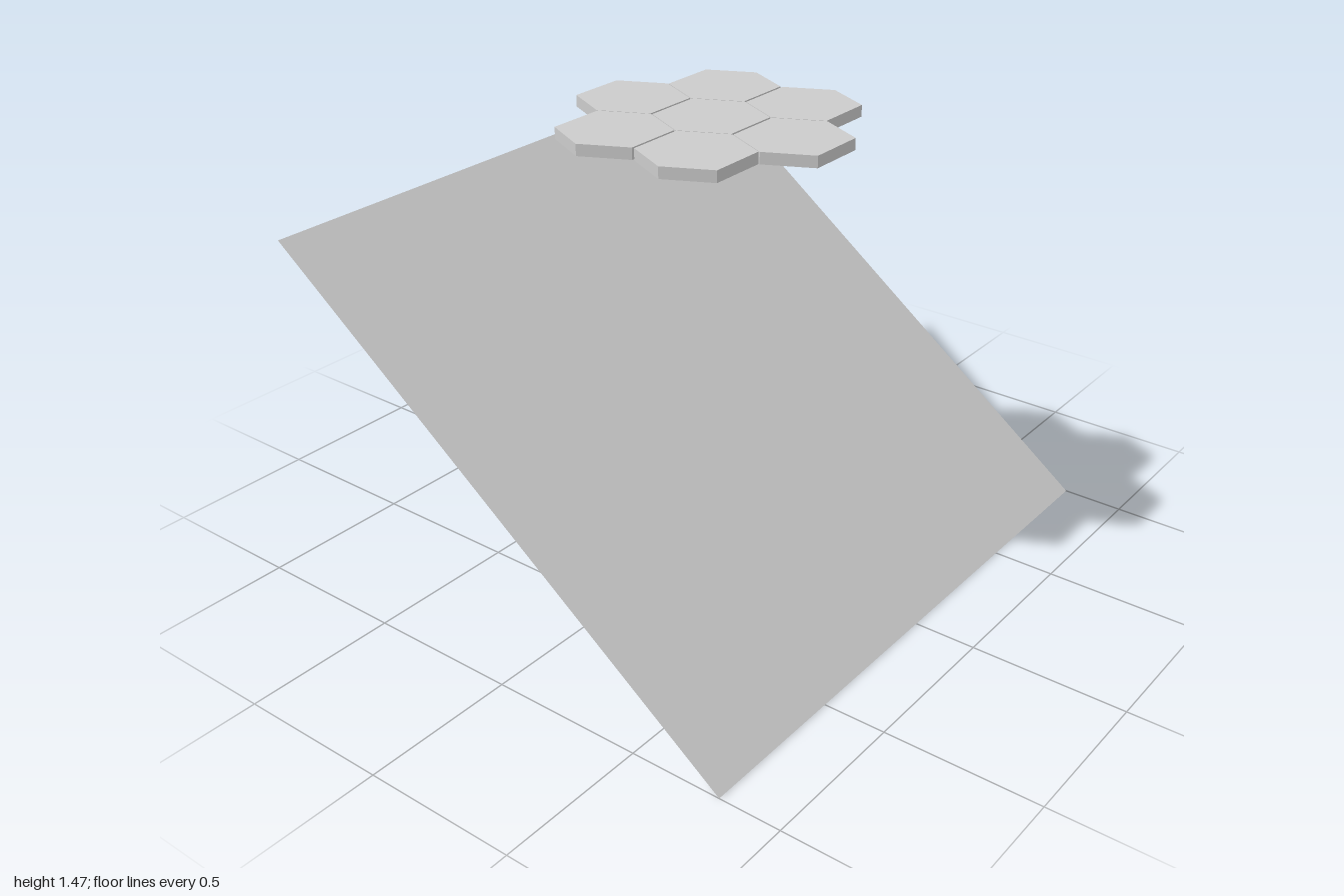
import * as THREE from 'three';

export function createModel() {
  const model = new THREE.Group();
  const grey = new THREE.MeshStandardMaterial({ color: 0xcccccc, flatShading: true });
  const greySheet = new THREE.MeshStandardMaterial({ color: 0xcccccc, side: THREE.DoubleSide });

  // Thin sloping sheet: high at the back, touching the ground at the front
  const slope = new THREE.Mesh(new THREE.PlaneGeometry(2, 2), greySheet);
  slope.name = 'slopedSheet';
  slope.rotation.x = -Math.atan2(1.6, 1.2);
  slope.position.y = 0.6;
  model.add(slope);

  // Hexagonal tile, slightly wider along its flat edges than a regular hexagon
  const tip = 0.168, flat = 0.095, apothem = 0.147, thickness = 0.037;
  const outline = new THREE.Shape([
    [tip, 0], [flat, apothem], [-flat, apothem],
    [-tip, 0], [-flat, -apothem], [flat, -apothem],
  ].map(([x, y]) => new THREE.Vector2(x, y)));
  const tileGeometry = new THREE.ExtrudeGeometry(outline, { depth: thickness, bevelEnabled: false });
  tileGeometry.rotateX(-Math.PI / 2);

  // Seven tiles floating above the sheet: one centre tile and its six neighbours
  const tiles = new THREE.Group();
  tiles.name = 'hexTiles';
  tiles.position.y = 1.437;
  const pitchX = 0.264, pitchZ = 0.302;
  for (let column = -1; column <= 1; column++) {
    const count = 3 - Math.abs(column);
    for (let row = 0; row < count; row++) {
      const tile = new THREE.Mesh(tileGeometry, grey);
      tile.name = 'hexTile';
      tile.position.set(column * pitchX, 0, (row - (count - 1) / 2) * pitchZ);
      tiles.add(tile);
    }
  }
  model.add(tiles);
  return model;
}
